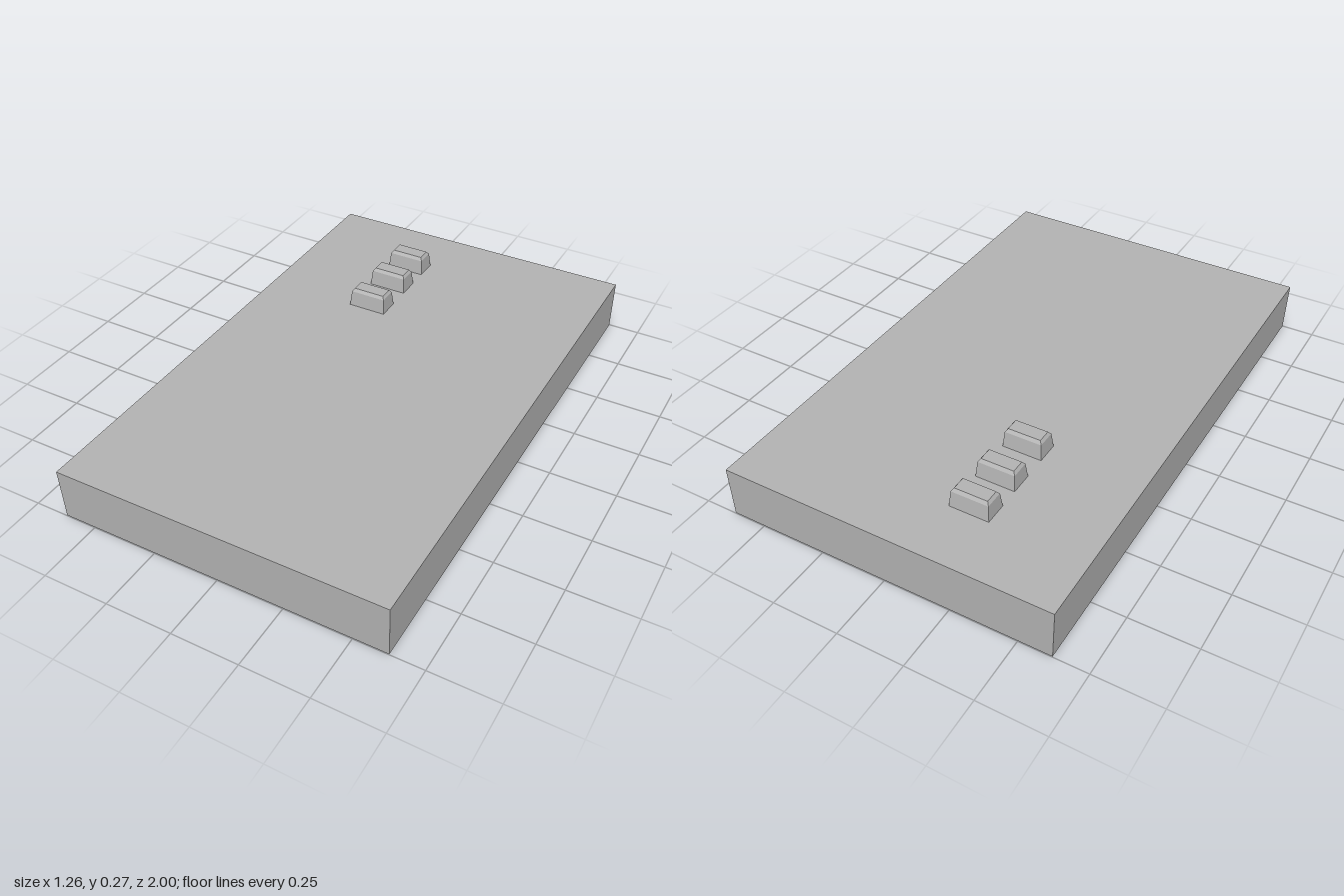
import * as THREE from 'three';

// Four corners of a horizontal rectangle: front right, front left, back left, back right
const ring = (y, hx, hz) => [[-hx, y, hz], [hx, y, hz], [hx, y, -hz], [-hx, y, -hz]];

// Shell through stacked four-cornered rings, capped on top and open underneath
function shell(rings) {
  const pos = [];
  const quad = (a, b, c, d) => pos.push(...a, ...b, ...c, ...a, ...c, ...d);
  for (let r = 0; r < rings.length - 1; r++) {
    const lo = rings[r], hi = rings[r + 1];
    for (let i = 0; i < 4; i++) {
      const j = (i + 1) % 4;
      quad(lo[i], lo[j], hi[j], hi[i]);
    }
  }
  quad(...rings[rings.length - 1]);
  const geometry = new THREE.BufferGeometry();
  geometry.setAttribute('position', new THREE.Float32BufferAttribute(pos, 3));
  geometry.computeVertexNormals();
  return geometry;
}

export function createModel() {
  const group = new THREE.Group();
  group.name = 'panelWithButtons';
  const grey = new THREE.MeshStandardMaterial({ color: 0xb4b4b4, side: THREE.DoubleSide });
  grey.name = 'plain grey';

  // Thin-walled tray, open below, with its right side leaning out slightly
  const bottom = ring(0, 0.627, 0.998);
  bottom[0][0] = bottom[3][0] = -0.622;
  const top = ring(0.2, 0.628, 1);
  top[0][1] = top[3][1] = 0.197;
  const body = new THREE.Mesh(shell([bottom, top]), grey);
  body.name = 'body';
  group.add(body);

  // Row of three tapered buttons with bevelled tops
  const buttonGeometry = shell([
    ring(0.195, 0.076, 0.044),
    ring(0.257, 0.071, 0.035),
    ring(0.269, 0.063, 0.026),
  ]);
  [-0.393, -0.568, -0.73].forEach((z, i) => {
    const button = new THREE.Mesh(buttonGeometry, grey);
    button.name = `button${i + 1}`;
    button.position.set(-0.188, 0, z);
    group.add(button);
  });

  return group;
}
